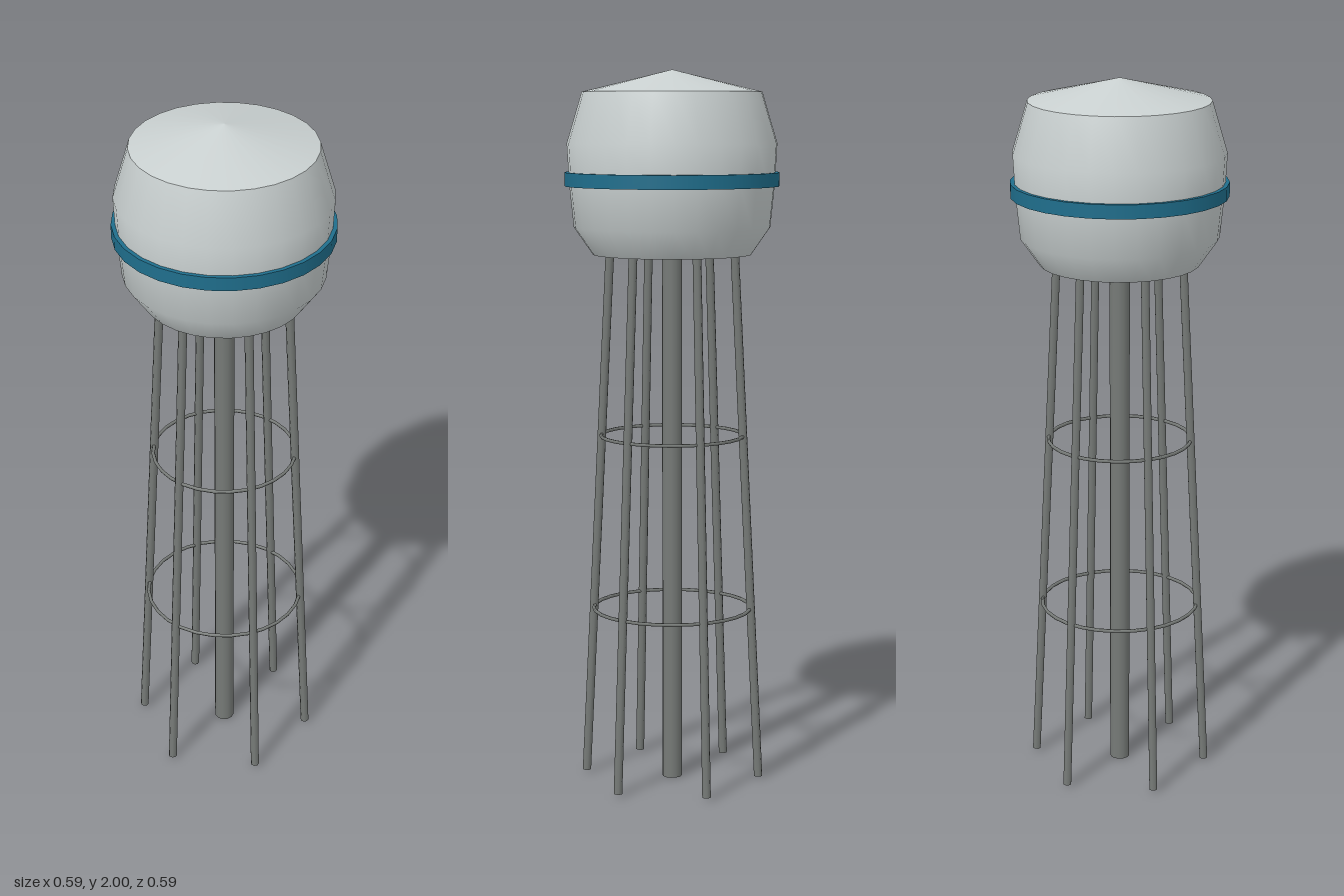
import * as THREE from 'three';

const SIDES = 28;

export function createModel() {
  const model = new THREE.Group();
  model.name = 'waterTower';

  const paint = new THREE.MeshStandardMaterial({ color: 0xc9d0d0 });
  paint.name = 'pale grey paint';
  const steel = new THREE.MeshStandardMaterial({ color: 0x767a77 });
  steel.name = 'dark grey steel';
  const blue = new THREE.MeshStandardMaterial({ color: 0x1f6e8c });
  blue.name = 'blue band';

  const add = (name, geometry, material, y = 0) => {
    const mesh = new THREE.Mesh(geometry, material);
    mesh.name = name;
    mesh.position.y = y;
    model.add(mesh);
    return mesh;
  };

  // Tank: bulging wall, flat floor and shallow conical roof
  const wall = [[0.22, 1.495], [0.272, 1.57], [0.284, 1.69], [0.29, 1.8], [0.248, 1.94]];
  add('tankWall', new THREE.LatheGeometry(wall.map(([r, y]) => new THREE.Vector2(r, y)), SIDES), paint);
  add('tankFloor', new THREE.CircleGeometry(0.22, SIDES).rotateX(Math.PI / 2), paint, 1.495);
  add('roof', new THREE.ConeGeometry(0.248, 0.06, SIDES, 1, true), paint, 1.97);

  // Band around the tank
  add('tankBand', new THREE.CylinderGeometry(0.297, 0.297, 0.038, SIDES), blue, 1.702);

  // Central riser pipe
  add('riserPipe', new THREE.CylinderGeometry(0.028, 0.028, 1.5, 12), steel, 0.75);

  // Six legs leaning inward
  const up = new THREE.Vector3(0, 1, 0);
  for (let i = 0; i < 6; i++) {
    const a = (i * Math.PI) / 3;
    const at = (r, y) => new THREE.Vector3(r * Math.cos(a), y, r * Math.sin(a));
    const foot = at(0.248, 0.008);
    const head = at(0.174, 1.51);
    const axis = head.clone().sub(foot);
    const leg = add('leg', new THREE.CylinderGeometry(0.012, 0.012, axis.length(), 8), steel);
    leg.position.copy(foot).add(head).multiplyScalar(0.5);
    leg.quaternion.setFromUnitVectors(up, axis.normalize());
  }

  // Horizontal bracing rings
  for (const [r, y] of [[0.222, 0.495], [0.2, 0.988]]) {
    add('braceRing', new THREE.TorusGeometry(r, 0.005, 6, SIDES).rotateX(Math.PI / 2), steel, y);
  }

  return model;
}
